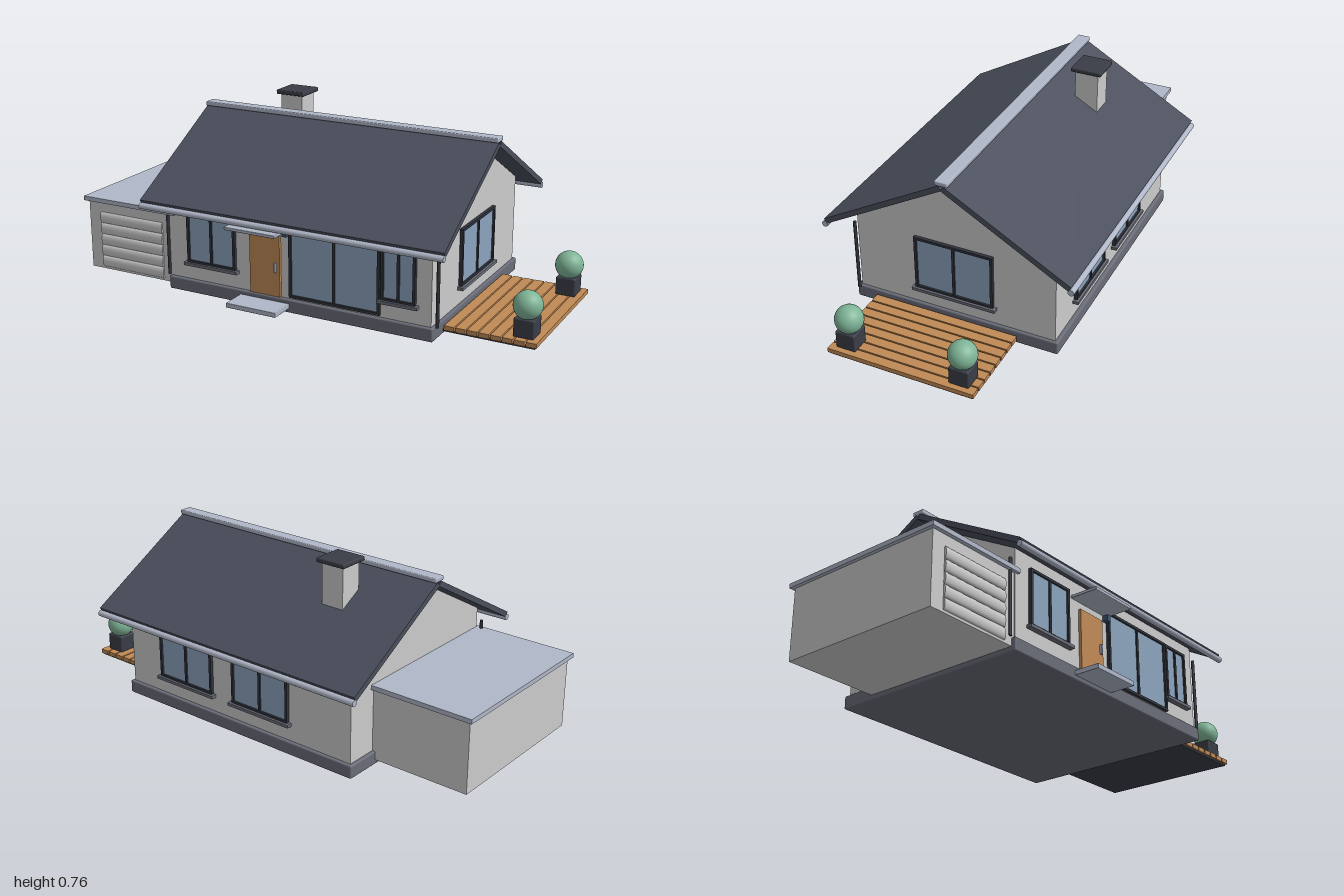
import * as THREE from 'three';
import { RoundedBoxGeometry } from 'three/addons/geometries/RoundedBoxGeometry.js';

const mat = (color) => new THREE.MeshStandardMaterial({ color });
const M = {
  wall: mat(0xcccccc), plinth: mat(0x6a6d78), roof: mat(0x4a4f5c), frame: mat(0x30333d),
  glass: mat(0x8ba3bd), metal: mat(0xb0b7c8), wood: mat(0xc08a55), leaf: mat(0x7fb598),
  dark: mat(0x3a3d47), lamp: mat(0x40546f),
};

export function createModel() {
  const house = new THREE.Group();
  house.name = 'house';

  const add = (name, geometry, material, x, y, z, parent = house) => {
    const mesh = new THREE.Mesh(geometry, material);
    mesh.name = name;
    mesh.position.set(x, y, z);
    parent.add(mesh);
    return mesh;
  };
  // Box given by its limits on each axis; r rounds the edges
  const box = (name, material, [x0, x1], [y0, y1], [z0, z1], parent = house, r = 0) => {
    const s = [x1 - x0, y1 - y0, z1 - z0];
    const geometry = r ? new RoundedBoxGeometry(...s, 2, r) : new THREE.BoxGeometry(...s);
    return add(name, geometry, material, (x0 + x1) / 2, (y0 + y1) / 2, (z0 + z1) / 2, parent);
  };

  // Plinth and walls with gables
  const midX = 0.027, midZ = -0.009, wallX = 0.583, wallZ = 0.426;
  box('plinth', M.plinth, [-0.57, 0.622], [0, 0.055], [-0.45, 0.432], house, 0.006);
  box('walls', M.wall, [midX - wallX, midX + wallX], [0.055, 0.422], [midZ - wallZ, midZ + wallZ]);
  const gable = new THREE.Shape([
    new THREE.Vector2(-wallZ, 0.422), new THREE.Vector2(wallZ, 0.422), new THREE.Vector2(0, 0.662),
  ]);
  const gableGeometry = new THREE.ExtrudeGeometry(gable, { depth: 2 * wallX, bevelEnabled: false });
  gableGeometry.translate(0, 0, -wallX).rotateY(Math.PI / 2);
  add('gable', gableGeometry, M.wall, midX, 0, midZ);

  // Roof slabs, gutters and downpipes, mirrored front to back
  const roofLength = 1.34, slope = Math.atan2(0.29, 0.513);
  for (const side of [1, -1]) {
    const slab = add('roofSlab', new THREE.BoxGeometry(roofLength, 0.023, 0.589), M.roof,
      midX, 0.531, midZ + side * 0.26);
    slab.rotation.x = side * slope;
    const gutter = add('gutter', new THREE.CylinderGeometry(0.013, 0.013, roofLength, 16), M.metal,
      midX, 0.372, midZ + side * 0.52);
    gutter.rotation.z = Math.PI / 2;
  }
  for (const side of [1, -1]) {
    add('downpipe', new THREE.CylinderGeometry(0.007, 0.007, 0.315, 10), M.frame,
      midX + side * 0.607, 0.215, 0.415);
  }
  box('ridgeCap', M.metal, [midX - 0.67, midX + 0.67], [0.684, 0.703], [-0.036, 0.018], house, 0.004);

  // Chimney
  box('chimneyStack', M.wall, [-0.355, -0.254], [0.5, 0.738], [-0.233, -0.133]);
  box('chimneyCap', M.dark, [-0.371, -0.238], [0.737, 0.756], [-0.25, -0.118], house, 0.005);

  // Window centred on its own origin, facing +z, standing on a wall plane
  const makeWindow = (name, w, h, sill = true) => {
    const group = new THREE.Group();
    group.name = name;
    house.add(group);
    const t = 0.011, d = [0, 0.014];
    box('glass', M.glass, [-w / 2 + t, w / 2 - t], [-h / 2 + t, h / 2 - t], [-0.004, 0.006], group);
    for (const s of [-1, 1]) {
      const x = s * (w / 2 - t / 2), y = s * (h / 2 - t / 2);
      box('frameSide', M.frame, [x - t / 2, x + t / 2], [-h / 2, h / 2], d, group);
      box('frameRail', M.frame, [-w / 2, w / 2], [y - t / 2, y + t / 2], d, group);
    }
    box('mullion', M.frame, [-t / 2, t / 2], [-h / 2, h / 2], [0, 0.012], group);
    if (sill) {
      box('sill', M.plinth, [-w / 2 - 0.012, w / 2 + 0.012], [-h / 2 - 0.011, -h / 2 + 0.002], [0, 0.024], group);
    }
    return group;
  };
  const front = midZ + wallZ, back = midZ - wallZ, winY = 0.249, winH = 0.238;
  makeWindow('frontWindow', 0.23, winH).position.set(-0.363, winY, front);
  makeWindow('narrowWindow', 0.144, winH).position.set(0.475, winY, front);
  makeWindow('patioDoor', 0.397, 0.305, false).position.set(0.2, 0.217, front);
  for (const x of [0.29, -0.11]) {
    const w = makeWindow('backWindow', 0.29, winH);
    w.position.set(x, winY, back);
    w.rotation.y = Math.PI;
  }
  const sideWindow = makeWindow('sideWindow', 0.337, winH);
  sideWindow.position.set(midX + wallX, winY, -0.008);
  sideWindow.rotation.y = Math.PI / 2;

  // Entrance: door, canopy, step and lamp
  box('frontDoor', M.wood, [-0.178, -0.04], [0.057, 0.312], [front - 0.01, front + 0.012]);
  box('doorHandle', M.metal, [-0.062, -0.054], [0.16, 0.2], [front + 0.01, front + 0.022]);
  box('canopy', M.metal, [-0.225, 0.003], [0.343, 0.356], [front, 0.54], house, 0.003);
  box('doorStep', M.metal, [-0.225, 0.003], [0.018, 0.038], [front, 0.54], house, 0.003);
  box('wallLamp', M.lamp, [-0.021, -0.001], [0.318, 0.346], [front, front + 0.024]);

  // Garage with slatted door
  box('garageWalls', M.wall, [-0.985, -0.55], [0.02, 0.32], [-0.297, 0.413]);
  box('garageRoof', M.metal, [-1, -0.54], [0.319, 0.338], [-0.312, 0.43]);
  for (let i = 0; i < 5; i++) {
    const slat = add('garageDoorSlat', new THREE.CylinderGeometry(0.024, 0.024, 0.315, 16), M.wall,
      -0.767, 0.054 + i * 0.049, 0.413);
    slat.rotation.z = Math.PI / 2;
    slat.scale.z = 0.4;
  }

  // Terrace of boards over a dark underframe
  const boards = 8, pitch = 0.375 / boards;
  for (let i = 0; i < boards; i++) {
    const x = 0.625 + i * pitch;
    box('deckBoard', M.wood, [x + 0.003, x + pitch - 0.003], [0.018, 0.037], [-0.281, 0.339]);
  }
  box('deckFrame', M.dark, [0.62, 0.99], [0.01, 0.019], [-0.272, 0.331]);

  // Planters with clipped bushes
  for (const z of [0.271, -0.21]) {
    box('planter', M.dark, [0.894, 0.976], [0.036, 0.112], [z - 0.042, z + 0.042], house, 0.006);
    add('bush', new THREE.SphereGeometry(0.057, 32, 20), M.leaf, 0.935, 0.156, z);
  }
  return house;
}
